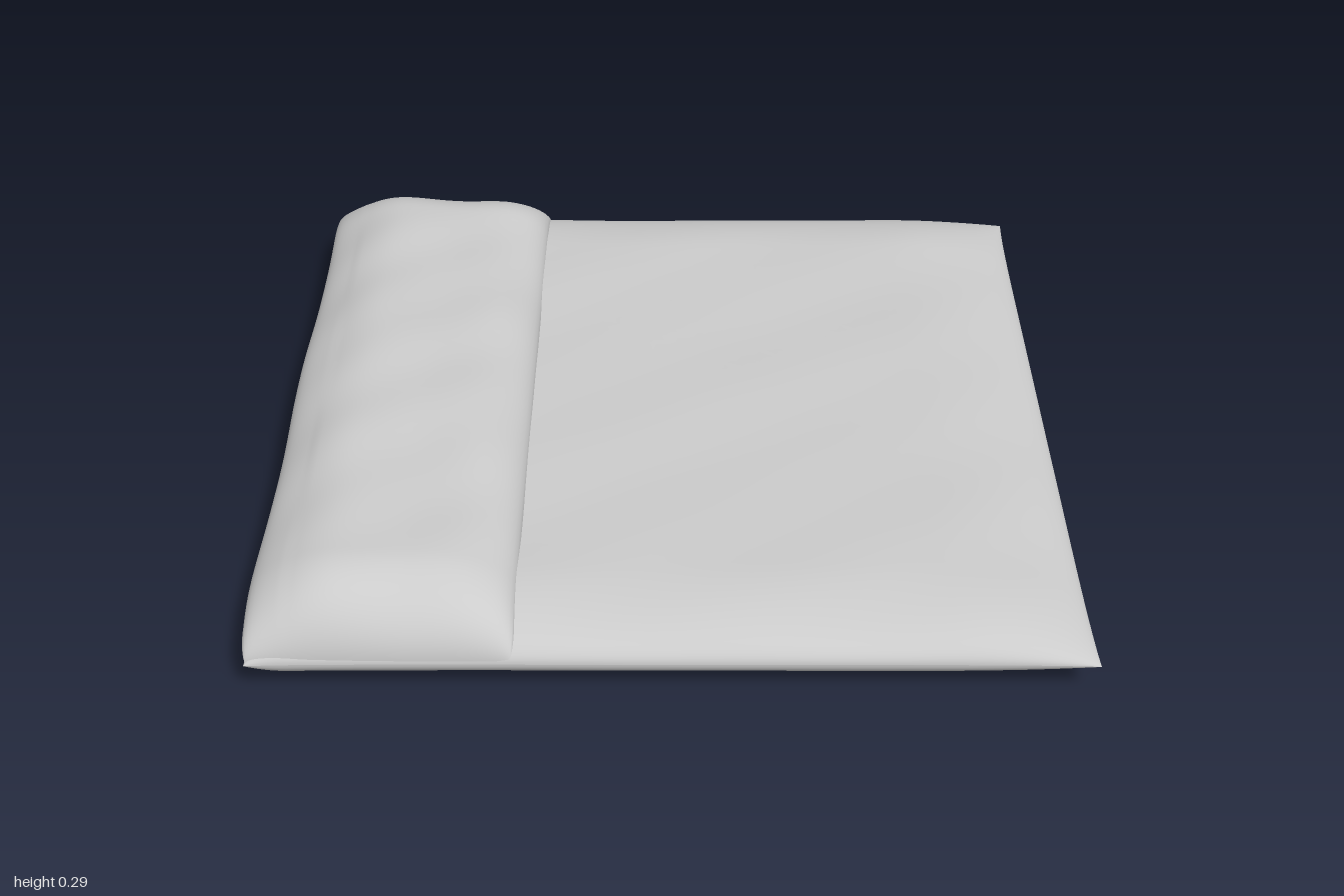
import * as THREE from 'three';

const SEAM = 0.1;

// Rounded rise from 0 at an edge to 1 at distance r from it
const rise = (d, r) => Math.sqrt(Math.max(0, 1 - (1 - Math.min(Math.max(d, 0) / r, 1)) ** 2));

// Soft fabric unevenness
const rumple = (x, z) =>
  0.003 * Math.sin(5 * x + 3 * z + 1) * Math.cos(6 * z - 2 * x) +
  0.002 * Math.sin(11 * x - 7 * z) + 0.0015 * Math.sin(9 * x + 14 * z);

// Closed rings, counterclockwise in xy, lofted along z
function loft(name, nu, nv, point) {
  const pos = [], index = [];
  for (let j = 0; j <= nv; j++) {
    const z = -Math.cos((j / nv) * Math.PI); // rows gather towards the ends
    for (let i = 0; i < nu; i++) {
      pos.push(...point(i / nu, z));
      if (j === nv) continue;
      const a = j * nu + i, b = j * nu + (i + 1) % nu;
      index.push(a, b, a + nu, b, b + nu, a + nu);
    }
  }
  const geo = new THREE.BufferGeometry();
  geo.setAttribute('position', new THREE.Float32BufferAttribute(pos, 3));
  geo.setIndex(index);
  geo.computeVertexNormals();
  const mesh = new THREE.Mesh(geo, new THREE.MeshStandardMaterial({ color: 0xcccccc, side: THREE.DoubleSide }));
  mesh.name = name;
  return mesh;
}

export function createModel() {
  const group = new THREE.Group();
  group.name = 'floorCushion';

  // Flat pad: pillow edges, with small points at the corners
  group.add(loft('pad', 128, 96, (u, z) => {
    const a = u * Math.PI * 2, c = Math.cos(a);
    const f = rise(1 - c, 0.35) * rise(1 + c, 0.1) * rise(1 - Math.abs(z), 0.26);
    const up = Math.sin(a) >= 0 ? 1 : -1;
    const h = up > 0 ? 0.086 : -0.092;
    const x = c * (1 - 0.008 * (1 - z ** 8)) + (c < 0 ? 0.012 * -c : 0);
    const zz = z * (1 - 0.006 * (1 - c ** 8));
    return [x, SEAM + f * (h + rumple(c, z) * (up > 0 ? 1 : 0.5)), zz];
  }));

  // Bolster along the right edge, tapering down to the seam at both ends
  const profile = new THREE.CatmullRomCurve3([
    [-0.96, 0.1], [-0.7, 0.1], [-0.42, 0.11], [-0.372, 0.14], [-0.362, 0.185], [-0.39, 0.227],
    [-0.47, 0.265], [-0.62, 0.28], [-0.81, 0.287], [-0.91, 0.25], [-0.985, 0.19], [-0.988, 0.13],
  ].map(([x, y]) => new THREE.Vector3(x, y, 0)), true);
  const n = 96, ring = profile.getSpacedPoints(n);
  group.add(loft('bolster', n, 96, (u, z) => {
    const p = ring[Math.round(u * n)];
    const f = rise(1 - Math.abs(z), 0.2);
    const side = 1 - 0.03 * (1 - rise(1 - Math.abs(z), 0.06));
    const swell = 0.005 * Math.cos(z * 4) + 1.2 * rumple(p.x * 1.5, z * 1.4);
    const lift = Math.max(0, (p.y - SEAM) / 0.18);
    return [
      -0.675 + (p.x + 0.675) * side + (p.x < -0.9 ? 0.004 * Math.sin(7 * z - 1) : 0),
      SEAM + f * (p.y - SEAM + lift * swell),
      z * 0.993,
    ];
  }));

  return group;
}
